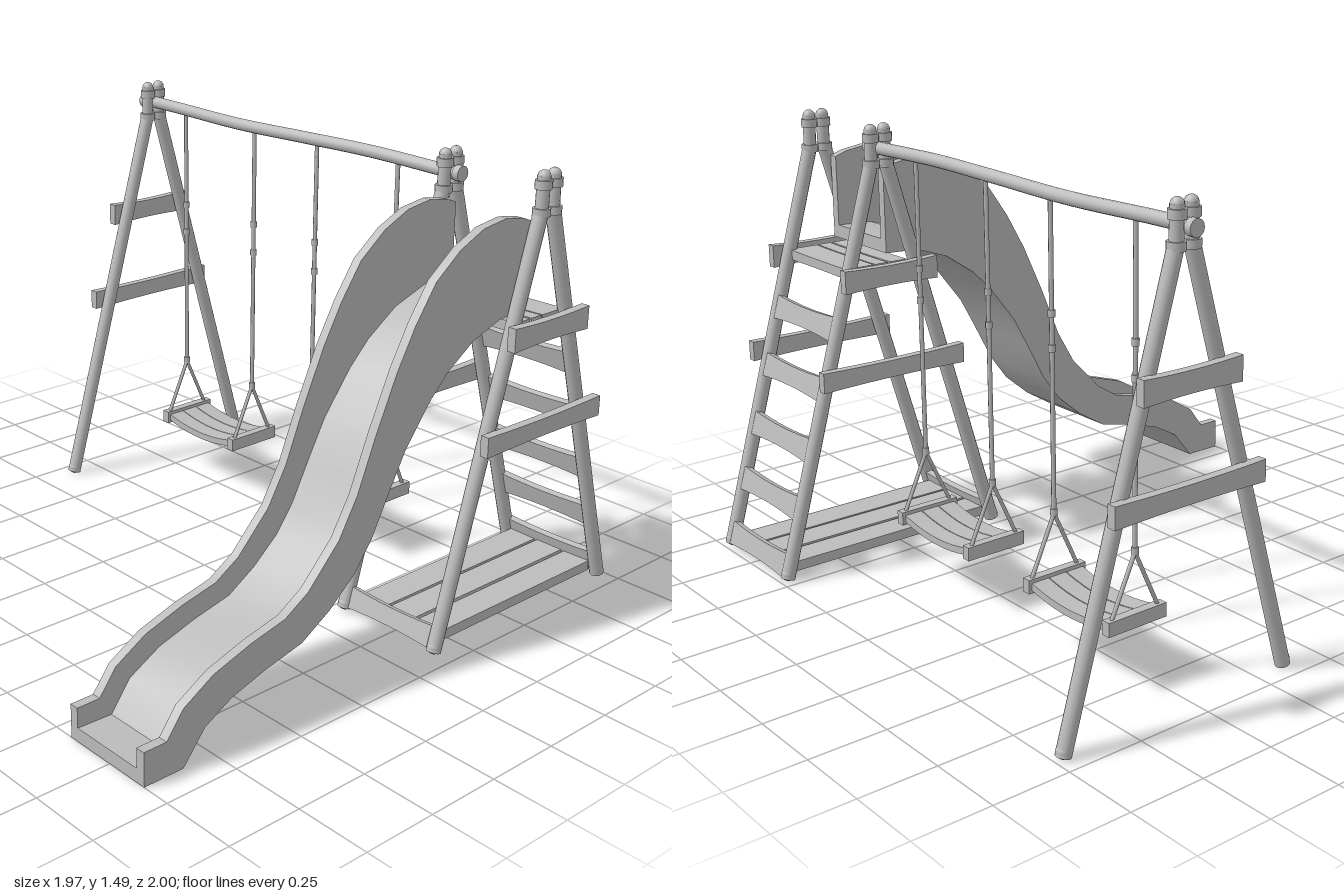
import * as THREE from 'three';
import { toCreasedNormals } from 'three/addons/utils/BufferGeometryUtils.js';

const grey = new THREE.MeshStandardMaterial({ color: 0xbcbcbc });
grey.name = 'plain grey';
const V = (x, y, z) => new THREE.Vector3(x, y, z);
const AXIS_Z = -0.556;      // z of the beam and frame apexes
const FRAMES = [-0.937, 0.542, 0.93];

function add(parent, name, geometry, x = 0, y = 0, z = 0) {
  const mesh = new THREE.Mesh(geometry, grey);
  mesh.name = name;
  mesh.position.set(x, y, z);
  parent.add(mesh);
  return mesh;
}

// Capped round rod between two points
function rod(parent, name, a, b, r, sides = 14) {
  const dir = b.clone().sub(a);
  const mesh = add(parent, name, new THREE.CylinderGeometry(r, r, dir.length(), sides));
  mesh.position.copy(a).add(b).multiplyScalar(0.5);
  mesh.quaternion.setFromUnitVectors(V(0, 1, 0), dir.normalize());
  return mesh;
}

// Rough-cut board along x, a little narrower at the middle
function board(length, height, depth, waist = 0.15) {
  const g = new THREE.BoxGeometry(length, height, depth, 8, 1, 1);
  const p = g.attributes.position;
  for (let i = 0; i < p.count; i++) {
    const t = p.getX(i) / (length / 2);
    p.setY(i, p.getY(i) * (1 - waist * (1 - t * t)));
  }
  g.computeVertexNormals();
  return g;
}

// Extrude a (z, y) outline between two x positions
function sideExtrude(points, x0, x1) {
  const shape = new THREE.Shape(points.map(([z, y]) => new THREE.Vector2(z, y)));
  const g = new THREE.ExtrudeGeometry(shape, { depth: x1 - x0, bevelEnabled: false });
  g.rotateY(-Math.PI / 2).translate(x1, 0, 0);
  return toCreasedNormals(g, 0.5);
}

function buildFrame(x, boardX) {
  const frame = new THREE.Group();
  frame.name = 'aFrame';
  for (const s of [1, -1]) {
    const knee = V(x, 1.36, AXIS_Z + s * 0.027);
    rod(frame, 'leg', V(x, 0.008, AXIS_Z + s * 0.416), knee, 0.024);
    add(frame, 'legFoot', new THREE.SphereGeometry(0.0235, 12, 8), x, 0.0235, AXIS_Z + s * 0.414);
    rod(frame, 'postTop', knee, V(x, 1.466, AXIS_Z + s * 0.025), 0.021);
    add(frame, 'postCap', new THREE.SphereGeometry(0.021, 12, 8), x, 1.464, AXIS_Z + s * 0.025);
    add(frame, 'postRing', new THREE.CylinderGeometry(0.027, 0.027, 0.028, 14), x, 1.44, AXIS_Z + s * 0.025);
    add(frame, 'postRing', new THREE.CylinderGeometry(0.028, 0.028, 0.026, 14), x, 1.355, AXIS_Z + s * 0.027);
  }
  // Two side rails on the outer face
  for (const [y, length, h] of [[0.992, 0.355, 0.077], [0.672, 0.55, 0.068]]) {
    add(frame, 'sideRail', board(length, h, 0.03), boardX, y, AXIS_Z).rotation.y = Math.PI / 2;
  }
  return frame;
}

function buildSwing(cx) {
  const swing = new THREE.Group();
  swing.name = 'swing';
  const half = 0.1875;
  for (const s of [-1, 1]) {
    const x = cx + s * half;
    rod(swing, 'rope', V(x, 0.41, AXIS_Z), V(x, 1.4, AXIS_Z), 0.0075, 8);
    for (const y of [1.045, 0.94, 0.425]) {
      add(swing, 'ropeKnot', new THREE.CylinderGeometry(0.0115, 0.0115, 0.022, 8), x, y, AXIS_Z);
    }
    for (const t of [-1, 1]) {
      rod(swing, 'ropeBranch', V(x, 0.42, AXIS_Z), V(x, 0.22, AXIS_Z + t * 0.092), 0.0065, 8);
    }
    add(swing, 'seatEnd', new THREE.BoxGeometry(0.03, 0.045, 0.218), x, 0.213, AXIS_Z);
  }
  // Sagging seat made of three slats
  for (const t of [-1, 0, 1]) {
    const g = new THREE.BoxGeometry(half * 2, 0.024, 0.063, 12, 1, 1);
    const p = g.attributes.position;
    for (let i = 0; i < p.count; i++) {
      const u = p.getX(i) / half;
      p.setY(i, p.getY(i) - 0.025 * (1 - u * u));
    }
    g.computeVertexNormals();
    add(swing, 'seatSlat', g, cx, 0.215, AXIS_Z + t * 0.066);
  }
  return swing;
}

function buildSlide() {
  const slide = new THREE.Group();
  slide.name = 'slide';
  const under = [[1, 0], [0.86, 0], [0.78, 0.1], [0.68, 0.155], [0.55, 0.195], [0.41, 0.228],
    [0.3, 0.295], [0.2, 0.38], [0.13, 0.475], [0.06, 0.61], [0, 0.72], [-0.1, 0.85],
    [-0.17, 0.92], [-0.28, 0.995], [-0.4, 1.037], [-0.52, 1.042]];
  const rim = [[-0.52, 1.325], [-0.48, 1.34], [-0.4, 1.352], [-0.3, 1.338], [-0.2, 1.292], [-0.1, 1.215],
    [-0.02, 1.1], [0.05, 0.975], [0.13, 0.8], [0.2, 0.63], [0.27, 0.51], [0.39, 0.385],
    [0.48, 0.33], [0.61, 0.3], [0.75, 0.255], [0.86, 0.19], [0.92, 0.11], [1, 0.11]];
  // Bed surface: underside offset along its normal
  const bed = under.map(([z, y], i) => {
    const a = under[Math.max(i - 1, 0)], b = under[Math.min(i + 1, under.length - 1)];
    const dz = b[0] - a[0], dy = b[1] - a[1], l = Math.hypot(dz, dy);
    const end = i === 0 || i === under.length - 1;
    return [end ? z : z + 0.045 * dy / l, y - 0.045 * (end ? -1 : dz / l)];
  });
  add(slide, 'slideBed', sideExtrude([...under, ...bed.reverse()], 0.6, 0.875));
  for (const [x0, x1] of [[0.573, 0.604], [0.871, 0.903]]) {
    add(slide, 'slideWall', sideExtrude([...under, ...rim], x0, x1));
  }
  return slide;
}

function buildTower() {
  const tower = new THREE.Group();
  tower.name = 'climbingTower';
  const cx = 0.736, span = 0.37, slope = 0.389 / 1.352, tilt = Math.atan(slope);
  // Ladder steps follow the rear legs
  for (const y of [0.05, 0.24, 0.43, 0.63, 0.825]) {
    const step = add(tower, 'ladderStep', board(span, 0.082, 0.022, 0.2), cx, y, AXIS_Z - 0.416 + y * slope - 0.01);
    step.rotation.x = tilt;
  }
  // Front board and floor planks at the base
  add(tower, 'baseFrontBoard', board(span, 0.075, 0.022, 0.2), cx, 0.046, AXIS_Z + 0.402).rotation.x = -tilt;
  for (const s of [-1, 0, 1]) {
    const plank = add(tower, 'floorPlank', new THREE.BoxGeometry(0.105, 0.034, 0.8), cx + s * 0.117, 0.028, AXIS_Z);
    plank.rotation.z = s * 0.02;
  }
  // Deck planks
  for (const [z, d] of [[-0.635, 0.105], [-0.553, 0.048], [-0.488, 0.065]]) {
    add(tower, 'deckPlank', board(span, 0.035, d, 0.1), cx, 1.0, z);
  }
  return tower;
}

export function createModel() {
  const model = new THREE.Group();
  model.name = 'swingSetWithSlide';
  [-0.971, 0.498, 0.968].forEach((bx, i) => model.add(buildFrame(FRAMES[i], bx)));

  // Slightly wavy top beam with end collars
  const path = new THREE.CatmullRomCurve3([V(-0.985, 1.408, AXIS_Z), V(-0.8, 1.406, AXIS_Z),
    V(-0.45, 1.399, AXIS_Z), V(-0.1, 1.406, AXIS_Z), V(0.2, 1.411, AXIS_Z), V(0.588, 1.403, AXIS_Z)]);
  add(model, 'topBeam', new THREE.TubeGeometry(path, 40, 0.021, 14));
  for (const x of [-0.976, 0.583]) {
    add(model, 'beamCollar', new THREE.CylinderGeometry(0.026, 0.026, 0.024, 14), x, 1.406, AXIS_Z).rotation.z = Math.PI / 2;
  }

  model.add(buildSwing(-0.557), buildSwing(0.133), buildSlide(), buildTower());
  return model;
}
